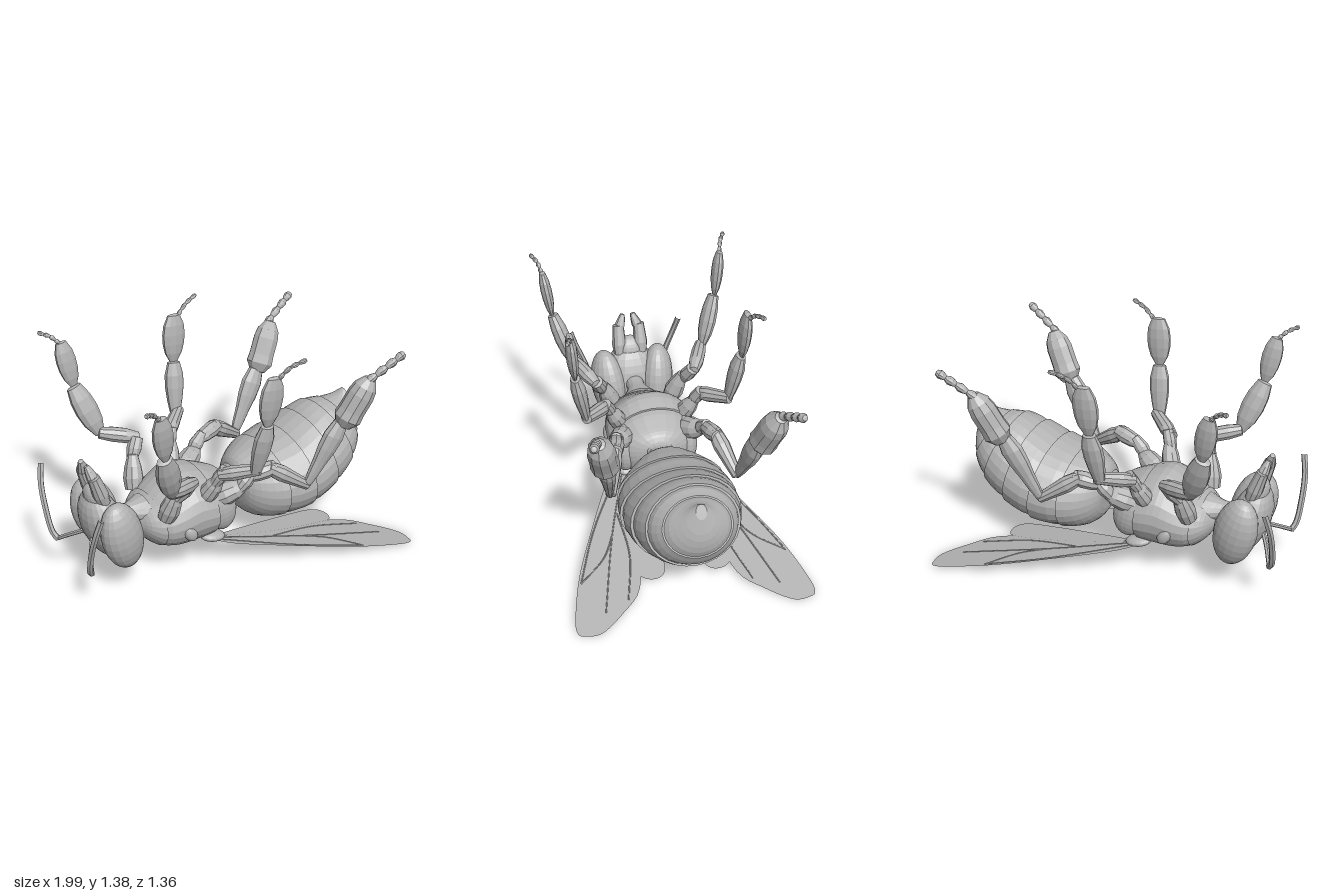
import * as THREE from 'three';

const grey = new THREE.MeshStandardMaterial({ color: 0xb4b4b4, flatShading: true });
grey.name = 'bodyGrey';
const wingGrey = new THREE.MeshStandardMaterial({ color: 0xb4b4b4, side: THREE.DoubleSide });
wingGrey.name = 'wingGrey';

const V = (x, y, z) => new THREE.Vector3(x, y, z);

function add(parent, name, geometry, material = grey) {
  const mesh = new THREE.Mesh(geometry, material);
  mesh.name = name;
  parent.add(mesh);
  return mesh;
}

// Lofted shell. Each section: [lowerX, lowerY, upperX, upperY, halfWidth].
// At the listed section numbers one plate ends and overlaps the next.
function loft(sections, edges = [], sides = 24, sub = 3) {
  const low = new THREE.CatmullRomCurve3(sections.map(s => V(s[0], s[1], 0)));
  const high = new THREE.CatmullRomCurve3(sections.map(s => V(s[2], s[3], s[4])));
  const n = (sections.length - 1) * sub;
  const pos = [], index = [];
  let rings = 0;
  const ring = (t, k) => {
    const b = low.getPoint(t), h = high.getPoint(t);
    for (let j = 0; j < sides; j++) {
      const a = j / sides * Math.PI * 2, c = Math.cos(a) * k;
      pos.push((b.x + h.x) / 2 + (h.x - b.x) / 2 * c,
        (b.y + h.y) / 2 + (h.y - b.y) / 2 * c, h.z * Math.sin(a) * k);
    }
    rings++;
  };
  ring(0, 0);
  for (let i = 0; i <= n; i++) {
    const s = i / sub;
    const next = edges.find(e => e >= s);
    const k = next === undefined ? 0.99 : 1.015 - 0.025 * Math.min(1, next - s);
    ring(i / n, k);
    if (edges.includes(s)) ring(i / n, 0.965);
  }
  ring(1, 0);
  for (let i = 0; i < rings - 1; i++) for (let j = 0; j < sides; j++) {
    const a = i * sides + j, b = i * sides + (j + 1) % sides;
    index.push(a, b, a + sides, b, b + sides, a + sides);
  }
  const g = new THREE.BufferGeometry();
  g.setAttribute('position', new THREE.Float32BufferAttribute(pos, 3));
  g.setIndex(index);
  g.computeVertexNormals();
  return g;
}

// Leg piece from p to q; radii run along its length, flat squeezes it sideways.
function limb(parent, name, p, q, radii, flat = 1) {
  const d = q.clone().sub(p), len = d.length(), n = radii.length - 1;
  const pts = [new THREE.Vector2(0, 0), ...radii.map((r, i) =>
    new THREE.Vector2(r, len * (0.03 + 0.94 * i / n))), new THREE.Vector2(0, len)];
  const g = new THREE.LatheGeometry(pts, 10);
  g.scale(1, 1, flat);
  const m = add(parent, name, g);
  m.position.copy(p);
  m.quaternion.setFromUnitVectors(V(0, 1, 0), d.normalize());
}

function ball(parent, name, c, r, tilt = 0, turn = 0) {
  const m = add(parent, name, new THREE.SphereGeometry(1, 18, 14));
  m.position.copy(c);
  m.scale.set(...r);
  m.rotation.set(0, turn, tilt);
}

function tube(parent, name, pts, r, material = grey) {
  add(parent, name, new THREE.TubeGeometry(new THREE.CatmullRomCurve3(pts), 18, r, 6), material);
}

// Leg pieces: [name, start, end, radii, flatness]
const bulge = [0.3, 0.75, 0.95, 1, 0.9, 0.55];
const fat = k => bulge.map(b => b * k);
const legs = {
  frontLeg: [
    ['coxa', [-0.46, 0.43, 0.18], [-0.42, 0.63, 0.25], [0.05, 0.06, 0.05, 0.03], 1],
    ['trochanter', [-0.43, 0.58, 0.25], [-0.36, 0.7, 0.3], [0.03, 0.045, 0.04], 1],
    ['femur', [-0.34, 0.69, 0.3], [-0.56, 0.74, 0.4], [0.03, 0.045, 0.045, 0.035], 1],
    ['tibia', [-0.54, 0.72, 0.4], [-0.65, 1.03, 0.5], [0.03, 0.06, 0.07, 0.065, 0.045], 0.7],
    ['tarsus', [-0.64, 1.01, 0.5], [-0.69, 1.3, 0.54], fat(0.06), 0.55]],
  middleLeg: [
    ['coxa', [-0.21, 0.47, 0.18], [-0.15, 0.63, 0.26], [0.05, 0.055, 0.05, 0.03], 1],
    ['trochanter', [-0.18, 0.58, 0.24], [-0.13, 0.7, 0.29], [0.03, 0.04, 0.035], 1],
    ['femur', [-0.17, 0.66, 0.27], [0.01, 0.72, 0.43], [0.035, 0.045, 0.04, 0.035], 1],
    ['tibia', [-0.02, 0.7, 0.42], [0.01, 1.02, 0.48], [0.035, 0.05, 0.06, 0.06, 0.04], 0.7],
    ['tarsus', [0.01, 1.0, 0.48], [0.03, 1.31, 0.5], fat(0.075), 0.45]],
  hindLeg: [
    ['coxa', [-0.13, 0.45, 0.18], [0.03, 0.53, 0.26], [0.06, 0.07, 0.06, 0.03], 1],
    ['trochanter', [-0.03, 0.49, 0.25], [0.08, 0.61, 0.27], [0.03, 0.045, 0.03], 1],
    ['femurBase', [0.03, 0.57, 0.26], [0.21, 0.61, 0.3], [0.03, 0.045, 0.05, 0.04], 1],
    ['femur', [0.15, 0.62, 0.29], [0.4, 0.45, 0.37], [0.04, 0.05, 0.04, 0.03], 1],
    ['tibia', [0.37, 0.44, 0.37], [0.58, 0.85, 0.42], [0.025, 0.04, 0.05, 0.065, 0.07, 0.05], 0.7],
    ['tarsus', [0.58, 0.81, 0.42], [0.725, 1.11, 0.48], [0.05, 0.085, 0.08, 0.08, 0.08, 0.07, 0.035], 0.95]],
};
// Small jointed feet at the leg ends
const feet = {
  frontLeg: [[-0.69, 1.28, 0.54], [-0.74, 1.335, 0.555], [-0.8, 1.36, 0.59]],
  middleLeg: [[0.05, 1.28, 0.5], [0.12, 1.345, 0.515], [0.21, 1.375, 0.54]],
  hindLeg: [[0.68, 1.08, 0.48], [0.8, 1.16, 0.51], [0.91, 1.23, 0.535]],
};

const foreWing = [[-0.18, 0.2], [-0.05, 0.31], [0.3, 0.475], [0.6, 0.6], [0.86, 0.67], [0.96, 0.675],
  [0.985, 0.63], [0.98, 0.54], [0.88, 0.41], [0.73, 0.28], [0.4, 0.22], [0.1, 0.19]];
const hindWing = [[-0.15, 0.18], [0.25, 0.26], [0.6, 0.27], [0.68, 0.24], [0.69, 0.16],
  [0.62, 0.11], [0.4, 0.12], [0.1, 0.15]];
const veins = [[[-0.15, 0.21], [0.3, 0.46], [0.65, 0.6]], [[-0.12, 0.2], [0.35, 0.36], [0.86, 0.5]],
  [[0.35, 0.36], [0.5, 0.44], [0.65, 0.6]], [[0.2, 0.3], [0.5, 0.29], [0.8, 0.36]]];
// Wing blades slope down to the tip and rise slightly to the leading edge
const wingY = (x, z, lift = 0) => 0.172 - 0.17 * x + 0.025 * (z - 0.5) + lift;

function wing(parent, name, outline, s, lift) {
  const shape = new THREE.Shape();
  shape.moveTo(...outline[0]);
  shape.splineThru([...outline.slice(1), outline[0]].map(p => new THREE.Vector2(...p)));
  const g = new THREE.ShapeGeometry(shape, 4), p = g.attributes.position;
  for (let i = 0; i < p.count; i++) {
    const x = p.getX(i), z = p.getY(i);
    p.setXYZ(i, x, wingY(x, z, lift), z * s);
  }
  g.computeVertexNormals();
  add(parent, name, g, wingGrey);
}

export function createModel() {
  const bee = new THREE.Group();
  bee.name = 'beeOnItsBack';

  // Trunk
  add(bee, 'abdomen', loft([
    [0.12, 0.34, 0.1, 0.47, 0.08], [0.13, 0.23, 0.13, 0.53, 0.16], [0.2, 0.155, 0.21, 0.57, 0.25],
    [0.33, 0.13, 0.31, 0.6, 0.315], [0.53, 0.135, 0.46, 0.64, 0.335], [0.73, 0.2, 0.6, 0.7, 0.31],
    [0.89, 0.31, 0.72, 0.74, 0.26], [0.975, 0.45, 0.81, 0.735, 0.19], [0.995, 0.58, 0.88, 0.75, 0.105],
    [0.97, 0.71, 0.93, 0.785, 0.03]], [3, 4, 5, 6, 7], 28));
  add(bee, 'thorax', loft([
    [-0.57, 0.32, -0.57, 0.4, 0.07], [-0.54, 0.26, -0.53, 0.46, 0.16], [-0.47, 0.195, -0.47, 0.5, 0.22],
    [-0.38, 0.16, -0.38, 0.56, 0.255], [-0.24, 0.15, -0.28, 0.62, 0.27], [-0.14, 0.165, -0.16, 0.59, 0.265],
    [-0.05, 0.19, -0.06, 0.55, 0.235], [0.01, 0.25, 0, 0.52, 0.165], [0.04, 0.34, 0.03, 0.48, 0.09]], [2, 5], 24));
  add(bee, 'waist', loft([[0, 0.34, 0, 0.5, 0.12], [0.05, 0.37, 0.05, 0.48, 0.07],
    [0.1, 0.36, 0.1, 0.49, 0.1], [0.16, 0.3, 0.16, 0.52, 0.18]], [], 14));
  add(bee, 'neck', loft([[-0.68, 0.36, -0.68, 0.48, 0.06], [-0.6, 0.37, -0.6, 0.48, 0.06],
    [-0.5, 0.33, -0.5, 0.5, 0.12]], [], 14));

  // Head and mouth
  ball(bee, 'face', V(-0.765, 0.42, 0), [0.115, 0.22, 0.18], 0.25);
  ball(bee, 'muzzle', V(-0.8, 0.6, 0), [0.06, 0.09, 0.09], 0.3);

  for (const s of [1, -1]) {
    const side = new THREE.Group();
    side.name = s > 0 ? 'frontSide' : 'backSide';
    bee.add(side);
    const P = ([x, y, z]) => V(x, y, z * s);

    ball(side, 'eye', P([-0.73, 0.405, 0.16]), [0.13, 0.224, 0.102], 0.25, 0.3 * s);
    limb(side, 'mandibleBase', P([-0.78, 0.58, 0.07]), P([-0.84, 0.77, 0.065]), [0.035, 0.045, 0.04, 0.035]);
    limb(side, 'mandibleTip', P([-0.83, 0.73, 0.065]), P([-0.86, 0.83, 0.03]), [0.03, 0.032, 0.025, 0.015]);
    tube(side, 'antennaBase', [[-0.86, 0.37, 0.05], [-0.9, 0.33, 0.11], [-0.955, 0.26, 0.21]].map(P), 0.013);
    tube(side, 'antenna', [[-0.95, 0.26, 0.2], [-0.97, 0.3, 0.225], [-0.98, 0.44, 0.275],
      [-0.973, 0.58, 0.325], [-0.95, 0.69, 0.355]].map(P), 0.018);

    // Plates beside the wing roots
    ball(side, 'wingCap', P([-0.335, 0.315, 0.24]), [0.038, 0.058, 0.032], 0.5);
    ball(side, 'wingRoot', P([-0.15, 0.2, 0.18]), [0.08, 0.03, 0.058], -0.2);
    ball(side, 'flankPlate', P([-0.1, 0.38, 0.19]), [0.1, 0.15, 0.07], 0.2);

    // Legs
    for (const [name, parts] of Object.entries(legs)) {
      const leg = new THREE.Group();
      leg.name = name;
      side.add(leg);
      for (const [part, a, b, radii, flat] of parts) limb(leg, part, P(a), P(b), radii, flat);
      const path = new THREE.CatmullRomCurve3(feet[name].map(P));
      const w = name === 'hindLeg' ? 0.026 : 0.014;
      for (let i = 0; i < 4; i++)
        limb(leg, 'footJoint', path.getPoint(i / 4), path.getPoint(Math.min(1, (i + 1.1) / 4)),
          [w * 0.5, w * 0.85, w, w * 0.6]);
    }

    // Wings
    wing(side, 'foreWing', foreWing, s, 0);
    wing(side, 'hindWing', hindWing, s, 0.006);
    for (const v of veins)
      tube(side, 'wingVein', v.map(([x, z]) => V(x, wingY(x, z), z * s)), 0.004, wingGrey);
  }
  return bee;
}
